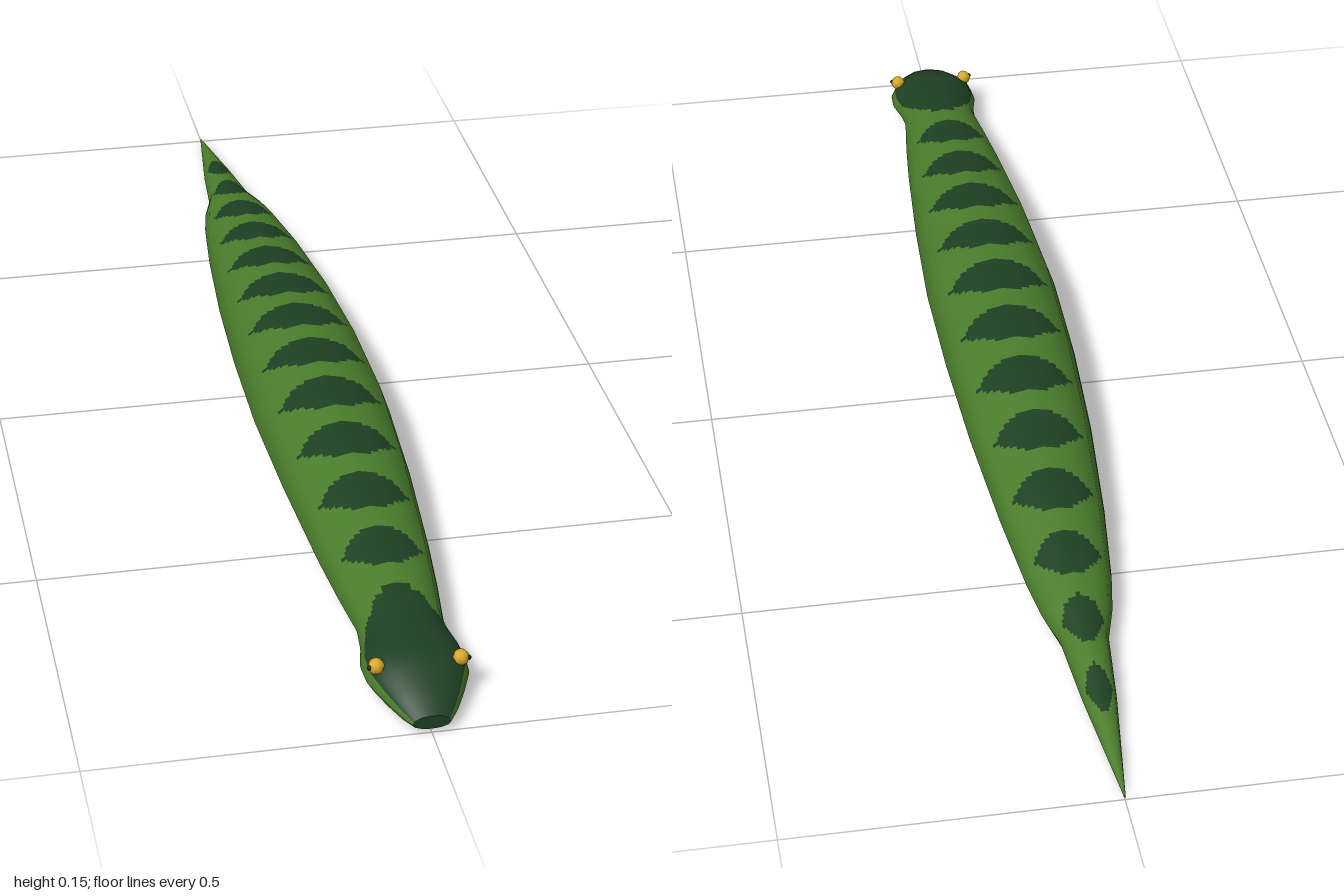
import * as THREE from 'three';

const mat = (name, color) => Object.assign(new THREE.MeshStandardMaterial({ color }), { name });

// Body stations from snout to tail: z, half width, bottom y, top y
const STATIONS = [
  [1, 0.028, 0.008, 0.03], [0.98, 0.042, 0.005, 0.044], [0.95, 0.058, 0.004, 0.06],
  [0.91, 0.075, 0.003, 0.077], [0.87, 0.077, 0.003, 0.082], [0.83, 0.068, 0.006, 0.085],
  [0.79, 0.065, 0.009, 0.09], [0.7, 0.076, 0.006, 0.102], [0.6, 0.086, 0.004, 0.115],
  [0.4, 0.101, 0.002, 0.14], [0.2, 0.11, 0.002, 0.153], [0, 0.108, 0.002, 0.149],
  [-0.2, 0.099, 0.002, 0.133], [-0.4, 0.083, 0.002, 0.108], [-0.55, 0.066, 0.002, 0.084],
  [-0.62, 0.054, 0.002, 0.073], [-0.68, 0.037, 0.003, 0.062], [-0.8, 0.026, 0.003, 0.041],
  [-1, 0.001, 0.004, 0.007],
];
const RINGS = 256, AROUND = 96, SIDES = 12, DEG = Math.PI / 180;

function section(z) {
  let i = 0;
  while (i < STATIONS.length - 2 && z < STATIONS[i + 1][0]) i++;
  const a = STATIONS[i], b = STATIONS[i + 1];
  const t = (a[0] - z) / (a[0] - b[0]);
  return [1, 2, 3].map((k) => a[k] + (b[k] - a[k]) * t);
}

// Point on the oval section; the angle runs from the top towards +x
function ovalPoint(z, angle) {
  const [w, lo, hi] = section(z);
  const mid = lo + (hi - lo) * 0.43;
  const c = Math.cos(angle);
  return new THREE.Vector3(w * Math.sin(angle), mid + c * (c > 0 ? hi - mid : mid - lo), z);
}

// Same section cut into twelve straight sides
function facetPoint(z, angle) {
  const step = (2 * Math.PI) / SIDES;
  const k = Math.floor(angle / step + 1e-6);
  return ovalPoint(z, k * step).lerp(ovalPoint(z, (k + 1) * step), angle / step - k);
}

function smoothNormal(z, angle) {
  const along = ovalPoint(Math.max(z - 0.02, -1), angle).sub(ovalPoint(Math.min(z + 0.02, 1), angle));
  const round = ovalPoint(z, angle + 0.05).sub(ovalPoint(z, angle - 0.05));
  return round.cross(along).normalize();
}

// Skin pattern: 0 green, 1 dark, 2 belly
function skinColour(z, degrees) {
  const a = degrees > 180 ? 360 - degrees : degrees;
  if (a > (z > 0.83 ? 112 : 120)) return 2;
  if (z > 0.755) {
    const back = Math.min(1, (z - 0.755) / 0.09);
    return a < 72 * Math.sqrt(back) ? 1 : 0;
  }
  const pitch = 0.1327;
  const u = (0.66 - z) / pitch;
  const off = Math.abs(u - Math.round(u)) * pitch;
  // Saddle diamonds along the back
  if (z > -0.87 && a < 52 && off < 0.046 * Math.cos((a / 52) * 90 * DEG)) return 1;
  // Small spots low on the flanks, between the saddles
  const gap = pitch / 2 - off;
  if (z > -0.8 && Math.hypot(gap / 0.021, (a - 101) / 12) < 1) return 1;
  return 0;
}

function bodyGeometry() {
  const pos = [], nor = [], faces = [[], [], []];
  for (let i = 0; i <= RINGS; i++) {
    const z = 1 - (2 * i) / RINGS;
    for (let j = 0; j <= AROUND; j++) {
      const angle = (j / AROUND) * 2 * Math.PI;
      pos.push(...facetPoint(z, angle).toArray());
      nor.push(...smoothNormal(z, angle).toArray());
    }
  }
  for (let i = 0; i < RINGS; i++) {
    for (let j = 0; j < AROUND; j++) {
      const a = i * (AROUND + 1) + j, c = a + AROUND + 1;
      const z = 1 - (2 * (i + 0.5)) / RINGS;
      faces[skinColour(z, ((j + 0.5) / AROUND) * 360)].push(a, a + 1, c, a + 1, c + 1, c);
    }
  }
  const g = new THREE.BufferGeometry();
  g.setAttribute('position', new THREE.Float32BufferAttribute(pos, 3));
  g.setAttribute('normal', new THREE.Float32BufferAttribute(nor, 3));
  g.setIndex(faces.flat());
  let start = 0;
  faces.forEach((f, k) => {
    g.addGroup(start, f.length, k);
    start += f.length;
  });
  return g;
}

export function createModel() {
  const group = new THREE.Group();
  group.name = 'snake';
  const green = mat('skin green', 0x4a7d2c);
  const dark = mat('dark green', 0x1e4023);
  const belly = mat('belly tan', 0xb8a06a);
  const yellow = mat('eye yellow', 0xd8a822);
  const black = mat('pupil black', 0x15150f);

  const add = (name, geometry, material, x = 0, y = 0, z = 0) => {
    const mesh = new THREE.Mesh(geometry, material);
    mesh.name = name;
    mesh.position.set(x, y, z);
    group.add(mesh);
    return mesh;
  };

  add('body', bodyGeometry(), [green, dark, belly]);

  // Blunt snout tip
  const rim = [];
  for (let k = 0; k < SIDES; k++) {
    const p = ovalPoint(1, -k * (360 / SIDES) * DEG);
    rim.push(new THREE.Vector2(p.x, p.y));
  }
  add('snout', new THREE.ShapeGeometry(new THREE.Shape(rim)), dark, 0, 0, 1);

  // Eyes with small pupils facing outwards
  for (const side of [1, -1]) {
    const label = side > 0 ? 'left' : 'right';
    add(label + 'Eye', new THREE.SphereGeometry(0.0125, 8, 6), yellow, side * 0.062, 0.062, 0.91);
    add(label + 'Pupil', new THREE.SphereGeometry(0.004, 8, 6), black, side * 0.0725, 0.063, 0.914);
  }
  return group;
}
